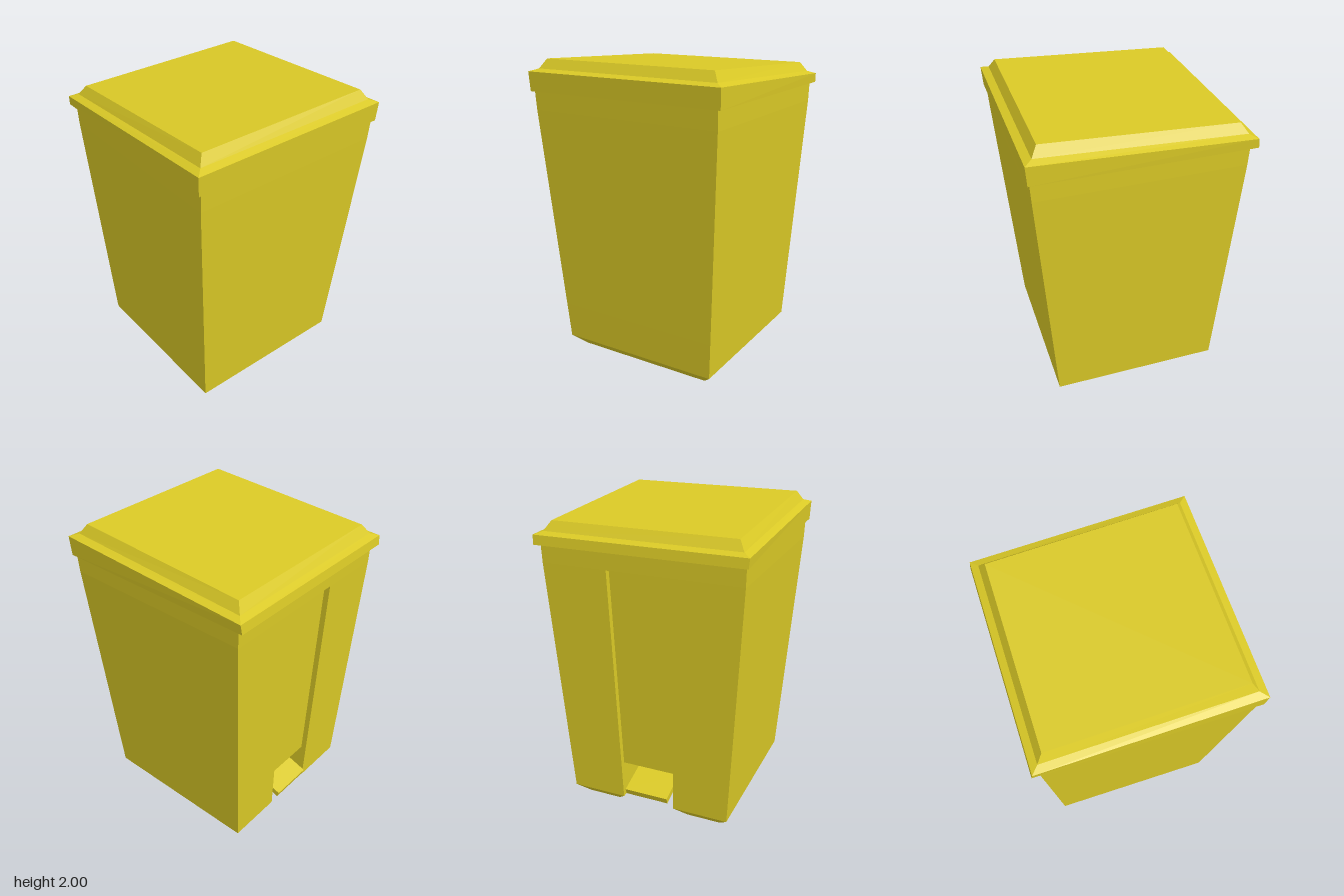
import * as THREE from 'three';

// Skin a stack of matching cross-sections (anticlockwise seen from above), with end caps
function loft(rings, capBottom, capTop) {
  const pos = [];
  const tri = (...pts) => pts.forEach((p) => pos.push(...p));
  for (let r = 0; r < rings.length - 1; r++) {
    const lo = rings[r], hi = rings[r + 1], n = lo.length;
    for (let i = 0; i < n; i++) {
      const j = (i + 1) % n;
      tri(lo[i], lo[j], hi[j]);
      tri(lo[i], hi[j], hi[i]);
    }
  }
  const cap = (ring, up) => {
    const flat = ring.map(([x, , z]) => new THREE.Vector2(x, -z));
    for (const [a, b, c] of THREE.ShapeUtils.triangulateShape(flat, [])) {
      if (up) tri(ring[a], ring[b], ring[c]);
      else tri(ring[a], ring[c], ring[b]);
    }
  };
  if (capBottom) cap(rings[0], false);
  if (capTop) cap(rings[rings.length - 1], true);
  const geo = new THREE.BufferGeometry();
  geo.setAttribute('position', new THREE.Float32BufferAttribute(pos, 3));
  geo.computeVertexNormals();
  return geo;
}

// Rectangle with a notch in its back edge: half width, front, back, notch half width, notch end
const notched = (y, w, f, b, nw, nz) => [
  [-w, y, f], [w, y, f], [w, y, b], [nw, y, b],
  [nw, y, nz], [-nw, y, nz], [-nw, y, b], [-w, y, b],
];

// Rectangle whose height differs at the front and the back
const sloped = (w, f, b, yf, yb) => [[-w, yf, f], [w, yf, f], [w, yb, b], [-w, yb, b]];

export function createModel() {
  const group = new THREE.Group();
  const yellow = new THREE.MeshStandardMaterial({ color: 0xdac926 });
  yellow.name = 'yellow plastic';
  const add = (name, geo) => {
    const mesh = new THREE.Mesh(geo, yellow);
    mesh.name = name;
    group.add(mesh);
    return mesh;
  };

  // Tapered body: bevelled foot, deep pedal cavity, shallow channel up the back, plain top band
  add('body', loft([
    notched(0, 0.48, 0.467, -0.498, 0.257, -0.133),
    notched(0.075, 0.555, 0.541, -0.571, 0.182, -0.208),
    notched(0.325, 0.57, 0.559, -0.581, 0.187, -0.208),
    notched(0.325, 0.57, 0.559, -0.581, 0.187, -0.544),
    notched(1.68, 0.65, 0.655, -0.635, 0.215, -0.598),
    notched(1.68, 0.65, 0.655, -0.635, 0.215, -0.635),
    notched(1.8, 0.653, 0.662, -0.638, 0.215, -0.638),
  ], true, false));

  // Lid: overhanging rim, shallow shoulder and raised panel, all sloping to the back
  add('lid', loft([
    sloped(0.676, 0.675, -0.682, 1.8, 1.8),
    sloped(0.68, 0.683, -0.674, 1.924, 1.86),
    sloped(0.633, 0.635, -0.63, 1.94, 1.877),
    sloped(0.595, 0.598, -0.59, 2.0, 1.937),
  ], true, true));

  // Pedal: chamfered plate with a narrow arm, rising into the cavity
  const half = [[0.15, 0], [0.15, 0.21], [0.06, 0.263], [0.06, 0.43]];
  const outline = [...half, ...half.map(([x, u]) => [-x, u]).reverse()];
  const shape = new THREE.Shape(outline.map(([x, u]) => new THREE.Vector2(x, u)));
  const pedal = add('pedal', new THREE.ExtrudeGeometry(shape, { depth: 0.042, bevelEnabled: false }));
  pedal.rotation.x = Math.PI / 2 - 0.318;
  pedal.position.set(0, 0.16, -0.605);

  return group;
}
